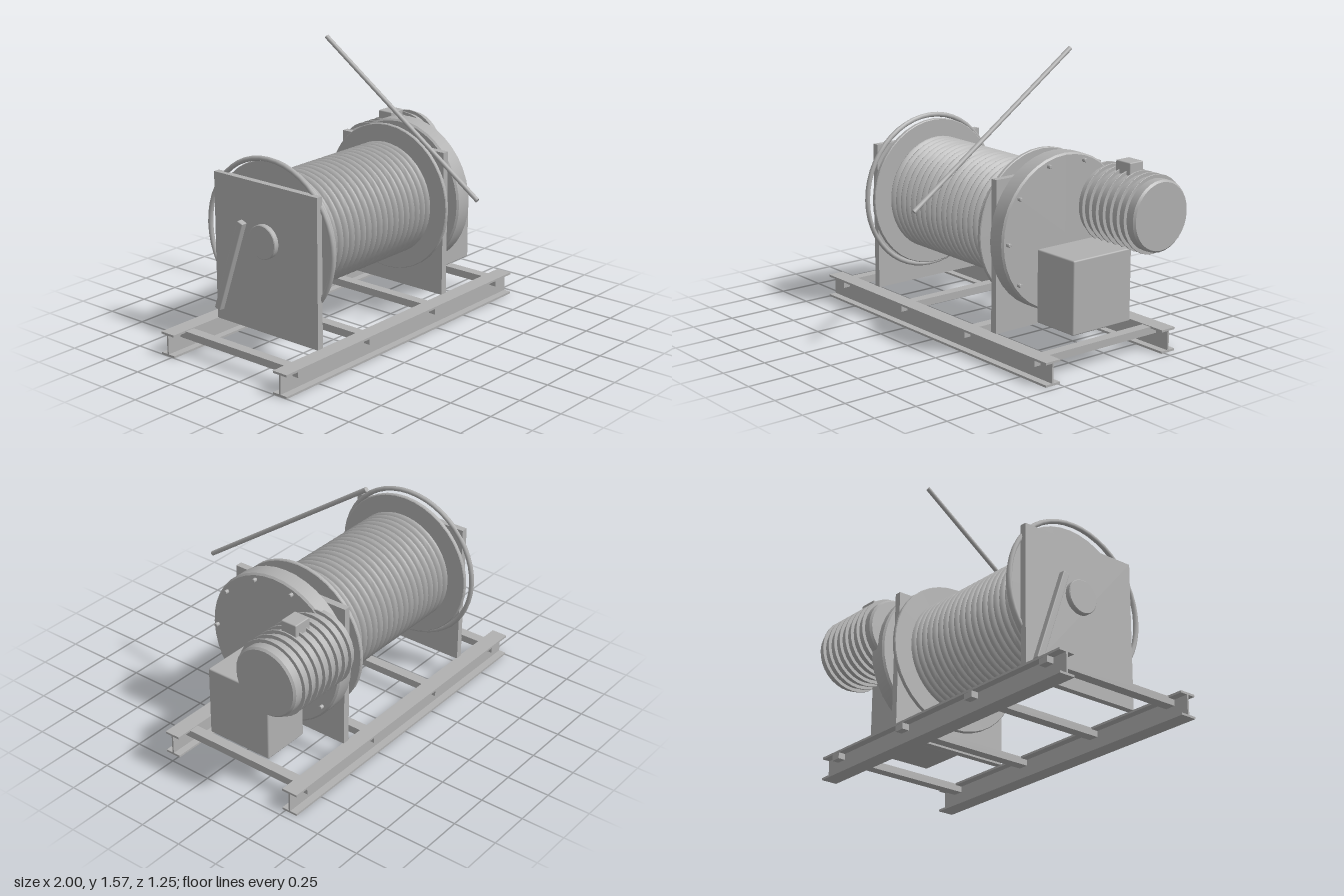
import * as THREE from 'three';
import { toCreasedNormals } from 'three/addons/utils/BufferGeometryUtils.js';
import { RoundedBoxGeometry } from 'three/addons/geometries/RoundedBoxGeometry.js';

const steel = new THREE.MeshStandardMaterial({ color: 0xb0b0b0 });
steel.name = 'steel grey';

const AXIS_Y = 0.655, AXIS_Z = -0.122;     // drum axis
const MOTOR_Y = 0.78, MOTOR_Z = -0.412;    // motor axis

export function createModel() {
  const root = new THREE.Group();
  root.name = 'winch';

  const add = (name, geometry, x = 0, y = 0, z = 0) => {
    const mesh = new THREE.Mesh(geometry, steel);
    mesh.name = name;
    mesh.position.set(x, y, z);
    root.add(mesh);
    return mesh;
  };
  // box given by its limits on each axis
  const box = (name, x0, x1, y0, y1, z0, z1, round = 0) => add(name,
    round ? new RoundedBoxGeometry(x1 - x0, y1 - y0, z1 - z0, 2, round)
      : new THREE.BoxGeometry(x1 - x0, y1 - y0, z1 - z0),
    (x0 + x1) / 2, (y0 + y1) / 2, (z0 + z1) / 2);
  // solid of revolution about an x-parallel axis; points are [radius, x]
  const turned = (name, points, y, z, sides = 40) => {
    const lathe = new THREE.LatheGeometry(points.map(p => new THREE.Vector2(p[0], p[1])), sides);
    lathe.rotateZ(-Math.PI / 2);
    return add(name, toCreasedNormals(lathe, 0.6), 0, y, z);
  };
  // disc with slightly bevelled rims
  const disc = (name, r, x0, x1, y, z, bevel = 0.004, sides = 40) => turned(name,
    [[0, x0], [r - bevel, x0], [r, x0 + bevel], [r, x1 - bevel], [r - bevel, x1], [0, x1]], y, z, sides);

  // base: two I-beams joined by four cross members
  for (const [side, z] of [['front', 0.288], ['rear', -0.528]]) {
    box(side + 'BeamBottomFlange', -1, 0.955, 0, 0.012, z - 0.047, z + 0.047);
    box(side + 'BeamWeb', -1, 0.955, 0.012, 0.12, z - 0.005, z + 0.005);
    box(side + 'BeamTopFlange', -1, 0.955, 0.12, 0.132, z - 0.047, z + 0.047);
  }
  for (const x of [-0.88, -0.31, 0.26, 0.835])
    box('crossMember', x - 0.03, x + 0.03, 0.086, 0.128, -0.574, 0.334);

  // upright plates carrying the shaft
  box('rightSidePlate', -0.655, -0.617, 0.13, 0.97, -0.488, 0.245);
  box('leftSidePlate', 0.405, 0.445, 0.13, 0.97, -0.488, 0.245);
  disc('shaft', 0.095, -0.685, 0.47, AXIS_Y, AXIS_Z, 0.004, 32);

  // drum wound with cable
  const wraps = 20, x0 = -0.567, x1 = 0.362, pitch = (x1 - x0) / wraps;
  const profile = [[0, x0]];
  for (let i = 0; i < wraps; i++)
    for (let k = 0; k < 6; k++)
      profile.push([0.296 + 0.031 * Math.sin(Math.PI * k / 6), x0 + pitch * (i + k / 6)]);
  profile.push([0.296, x1], [0, x1]);
  turned('cableWraps', profile, AXIS_Y, AXIS_Z, 48);
  disc('rightDrumFlange', 0.425, -0.591, -0.566, AXIS_Y, AXIS_Z);
  disc('leftDrumFlange', 0.425, 0.358, 0.382, AXIS_Y, AXIS_Z);

  // ring outside the drum flange
  const ring = new THREE.TorusGeometry(0.441, 0.014, 8, 48);
  ring.rotateY(Math.PI / 2);
  add('brakeRing', ring, -0.616, AXIS_Y, AXIS_Z);

  // gear housing and its ten bolts
  disc('gearHousing', 0.43, 0.462, 0.572, AXIS_Y, AXIS_Z, 0.01);
  for (let i = 0; i < 10; i++) {
    const a = i * Math.PI / 5;
    disc('housingBolt', 0.011, 0.565, 0.594,
      AXIS_Y + 0.395 * Math.sin(a), AXIS_Z + 0.395 * Math.cos(a), 0.002, 10);
  }

  // motor with cooling fins and terminal box
  disc('motorBody', 0.195, 0.508, 0.997, MOTOR_Y, MOTOR_Z, 0.011, 32);
  for (let i = 0; i < 8; i++) {
    const x = 0.563 + i * 0.0532;
    disc('motorFin', 0.215, x - 0.004, x + 0.004, MOTOR_Y, MOTOR_Z, 0.001, 32);
  }
  box('terminalBox', 0.695, 0.805, 0.93, 1.037, -0.459, -0.363, 0.006);

  // control cabinet
  box('controlCabinet', 0.584, 0.872, 0.197, 0.6, -0.322, 0.081, 0.008);

  // tilted brake lever
  const lever = add('brakeLever', new RoundedBoxGeometry(0.038, 0.567, 0.04, 2, 0.005), -0.69, 0.475, -0.347);
  lever.rotation.x = 19 * Math.PI / 180;

  // loose cable running up and back
  const from = new THREE.Vector3(0.224, 0.815, 0.614), to = new THREE.Vector3(0.224, 1.56, -0.45);
  const dir = to.clone().sub(from);
  const cable = add('cable', new THREE.CylinderGeometry(0.013, 0.013, dir.length(), 12));
  cable.position.copy(from).add(to).multiplyScalar(0.5);
  cable.quaternion.setFromUnitVectors(new THREE.Vector3(0, 1, 0), dir.normalize());

  return root;
}
